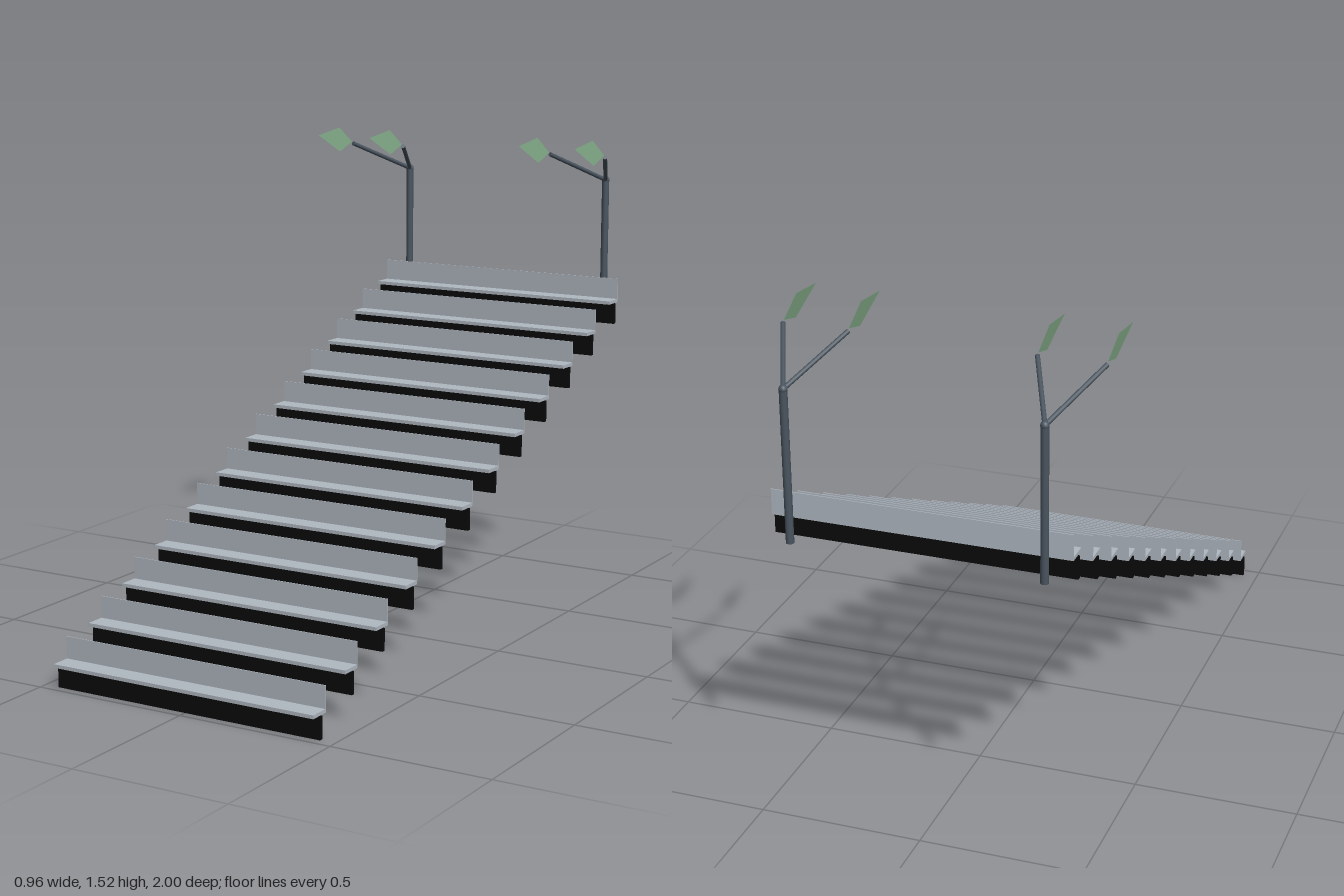
import * as THREE from 'three';

export function createModel() {
  const group = new THREE.Group();
  const mat = (name, color, side = THREE.FrontSide) => {
    const m = new THREE.MeshStandardMaterial({ color, side });
    m.name = name;
    return m;
  };
  const metal = mat('pale metal', 0xb0b8c1);
  const black = mat('black', 0x0a0a0a);
  const steel = mat('dark steel', 0x4a5560);
  const green = mat('lamp green', 0x82ab88, THREE.DoubleSide);

  const add = (parent, name, geometry, material, x = 0, y = 0, z = 0) => {
    const mesh = new THREE.Mesh(geometry, material);
    mesh.name = name;
    mesh.position.set(x, y, z);
    parent.add(mesh);
    return mesh;
  };

  // Twelve rising bench rows: black riser, flat seat and thin backrest
  const ROWS = 12;
  const riserGeo = new THREE.BoxGeometry(0.904, 0.068, 0.013);
  const seatGeo = new THREE.BoxGeometry(0.894, 0.011, 0.066);
  const backGeo = new THREE.BoxGeometry(0.894, 0.07, 0.003);
  for (let i = 0; i < ROWS; i++) {
    const row = new THREE.Group();
    row.name = 'benchRow' + (i + 1);
    row.position.set(0, i * 0.0807, 0.967 - i * 0.1712);
    add(row, 'riser', riserGeo, black, 0, 0.034, 0);
    add(row, 'seat', seatGeo, metal, 0, 0.0735, 0);
    add(row, 'backrest', backGeo, metal, 0, 0.112, -0.0325);
    group.add(row);
  }

  // Round bar between two points
  const bar = (parent, name, a, b, radius) => {
    const dir = b.clone().sub(a);
    const mesh = add(parent, name, new THREE.CylinderGeometry(radius, radius, dir.length(), 12), steel);
    mesh.position.copy(a).add(b).multiplyScalar(0.5);
    mesh.quaternion.setFromUnitVectors(new THREE.Vector3(0, 1, 0), dir.normalize());
  };

  // Leaf-shaped lamp panel standing nearly upright, relative to the arm tip
  const leafGeo = new THREE.BufferGeometry();
  leafGeo.setAttribute('position', new THREE.Float32BufferAttribute([
    0, 0, 0,
    -0.006, 0.054, 0.075,
    -0.004, 0.038, 0.213,
    0.006, -0.026, 0.09,
  ], 3));
  leafGeo.setIndex([0, 3, 1, 1, 3, 2]);
  leafGeo.computeVertexNormals();

  // Two lamp posts behind the top row, each with a pair of arms
  for (const side of [-1, 1]) {
    const post = new THREE.Group();
    post.name = side > 0 ? 'leftLampPost' : 'rightLampPost';
    const top = new THREE.Vector3(side * 0.377, 1.36, -0.986);
    bar(post, 'pole', new THREE.Vector3(top.x, 0.895, top.z), top, 0.012);
    add(post, 'joint', new THREE.SphereGeometry(0.013, 12, 8), steel, top.x, top.y, top.z);
    for (const s of [-1, 1]) {
      const tip = new THREE.Vector3(top.x + s * 0.099, 1.46, -0.762);
      bar(post, 'arm', top, tip, 0.007);
      add(post, 'lampPanel', leafGeo, green, tip.x, 1.466, -0.755);
    }
    group.add(post);
  }

  return group;
}
